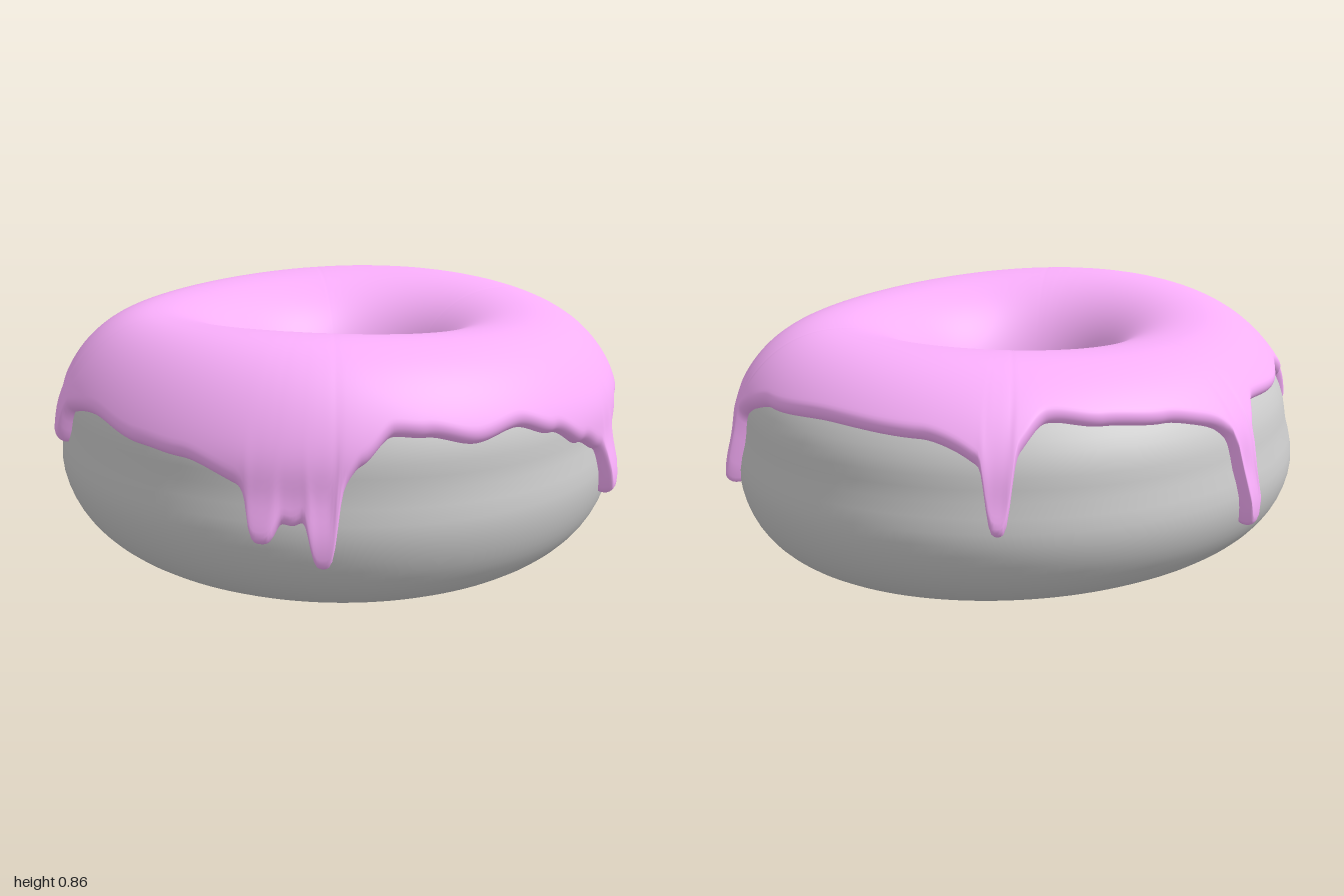
import * as THREE from 'three';

const DEG = Math.PI / 180;
const N = 2.2; // roundness of the ring's cross-section

// Height of the icing's outer hem: [angle in degrees, y]
const HEM = [
  [0, 0.61], [12, 0.57], [28, 0.55], [43, 0.49], [56, 0.51], [62, 0.47], [72, 0.45],
  [78, 0.48], [87, 0.55], [96, 0.595], [105, 0.575], [115, 0.61], [121, 0.62],
  [127, 0.56], [134, 0.46], [139, 0.39], [144, 0.42], [149, 0.5], [160, 0.54],
  [170, 0.55], [185, 0.58], [198, 0.56], [208, 0.57], [220, 0.63], [232, 0.61],
  [245, 0.62], [252, 0.58], [260, 0.6], [272, 0.63], [285, 0.645], [296, 0.665],
  [303, 0.62], [309, 0.59], [320, 0.62], [340, 0.63], [360, 0.61],
];
// Drips: [angle, tip height, half width in degrees]
const DRIPS = [
  [16.6, 0.29, 2.1], [67, 0.26, 2.5], [133.5, 0.25, 2.6], [144, 0.32, 2.6],
  [202, 0.42, 3], [254.5, 0.27, 2.2], [305, 0.36, 2.5],
];

const spow = (v, e) => Math.sign(v) * Math.abs(v) ** e;

// Tilted, uneven ring: centre height and half height at an angle
function section(theta) {
  const x = 0.65 * Math.cos(theta), z = 0.65 * Math.sin(theta);
  const bottom = 0.028 - 0.024 * x - 0.038 * z;
  const swell = theta - 148 * DEG;
  const top = 0.78 + 0.022 * Math.cos(swell) + 0.018 * Math.cos(2 * swell);
  return { mid: (top + bottom) / 2, half: (top - bottom) / 2 };
}

// Point on the dough at angle theta round the ring and t round the section, raised by lift
function ringPoint(theta, t, lift) {
  const { mid, half } = section(theta);
  const c = Math.cos(theta), s = Math.sin(theta);
  const up = spow(Math.sin(t), 2 / N), out = spow(Math.cos(t), 2 / N);
  const k = 0.5 + 0.5 * out;
  const y = mid + half * up;
  // drawn in above the middle, most at the back and one side, with a shallow belt round the outside
  const taper = up > 0 ? 0.042 - 0.016 * (c + s) : 0.02;
  const belt = 0.018 * Math.exp(-(((y - 0.45) / 0.08) ** 2));
  const r = lift * Math.cos(t) - Math.max(out, 0) * (taper * up + belt);
  return [
    (1 - k) * (-0.04 + 0.315 * c) + k * (-0.01 + 0.985 * c) + r * c,
    y + lift * Math.sin(t),
    (1 - k) * (0.052 + 0.258 * s) + k * (0.015 + 0.942 * s) + r * s,
  ];
}

// Section parameter on the outside of the ring at height y
function paramAt(theta, y) {
  const { mid, half } = section(theta);
  return Math.asin(spow(THREE.MathUtils.clamp((y - mid) / half, -1, 1), N / 2));
}

// Hem height and drip strength at an angle
function hemAt(deg) {
  const i = Math.max(1, HEM.findIndex(([a]) => a >= deg));
  const [a0, y0] = HEM[i - 1], [a1, y1] = HEM[i];
  const f = THREE.MathUtils.smoothstep(deg, a0, a1);
  let y = y0 + (y1 - y0) * f;
  let strength = 0;
  for (const [angle, tip, w] of DRIPS) {
    const d = Math.abs(deg - angle);
    const g = 0.76 * Math.exp(-((d / w) ** 4)) + 0.24 * Math.exp(-((d / (2 * w)) ** 2));
    y += (tip - y) * g;
    strength = Math.max(strength, g);
  }
  return { y, strength };
}

// Skin a grid of points: closed round the ring, optionally closed round the section
function skin(cols, rows, closed, rowsAt) {
  const pos = [], idx = [];
  const stride = closed ? rows : rows + 1;
  for (let i = 0; i < cols; i++) {
    const point = rowsAt(i / cols * 360);
    for (let j = 0; j < stride; j++) pos.push(...point(j / rows));
  }
  for (let i = 0; i < cols; i++) {
    const i2 = (i + 1) % cols;
    for (let j = 0; j < rows; j++) {
      const j2 = (j + 1) % stride;
      const a = i * stride + j, b = i * stride + j2;
      const c = i2 * stride + j, d = i2 * stride + j2;
      idx.push(a, b, c, c, b, d);
    }
  }
  const g = new THREE.BufferGeometry();
  g.setAttribute('position', new THREE.Float32BufferAttribute(pos, 3));
  g.setIndex(idx);
  g.computeVertexNormals();
  return g;
}

export function createModel() {
  const group = new THREE.Group();
  group.name = 'donut';

  // Dough ring
  const dough = new THREE.Mesh(
    skin(128, 64, true, (deg) => (v) => ringPoint(deg * DEG, v * Math.PI * 2, 0)),
    new THREE.MeshStandardMaterial({ color: 0xcccccc }),
  );
  dough.name = 'dough';

  // Icing: a coat over the top, from the dripping outer hem to a wavy hem in the hole
  const icingGeometry = skin(720, 56, false, (deg) => {
    const theta = deg * DEG;
    const hem = hemAt(deg);
    const innerY = 0.52 + 0.012 * Math.sin(theta * 7) + 0.008 * Math.sin(theta * 11 + 1);
    const t0 = paramAt(theta, hem.y);
    const t1 = Math.PI - paramAt(theta, innerY);
    return (v) => {
      const t = t0 + (t1 - t0) * (1 - Math.cos(Math.PI * v)) / 2;
      const dOut = (t - t0) * 0.37, dIn = (t1 - t) * 0.37;
      const edge = Math.min(1, Math.min(dOut, dIn) / 0.035);
      const thick = 0.035 + 0.014 * hem.strength * Math.exp(-((dOut / 0.12) ** 2));
      const lift = thick * Math.sqrt(Math.max(0, 1 - (1 - edge) ** 2)) - 0.004 * (1 - edge);
      return ringPoint(theta, t, lift);
    };
  });
  const icing = new THREE.Mesh(
    icingGeometry,
    new THREE.MeshStandardMaterial({ color: 0xfbb0fd, side: THREE.DoubleSide }),
  );
  icing.name = 'icing';

  group.add(dough, icing);
  return group;
}
